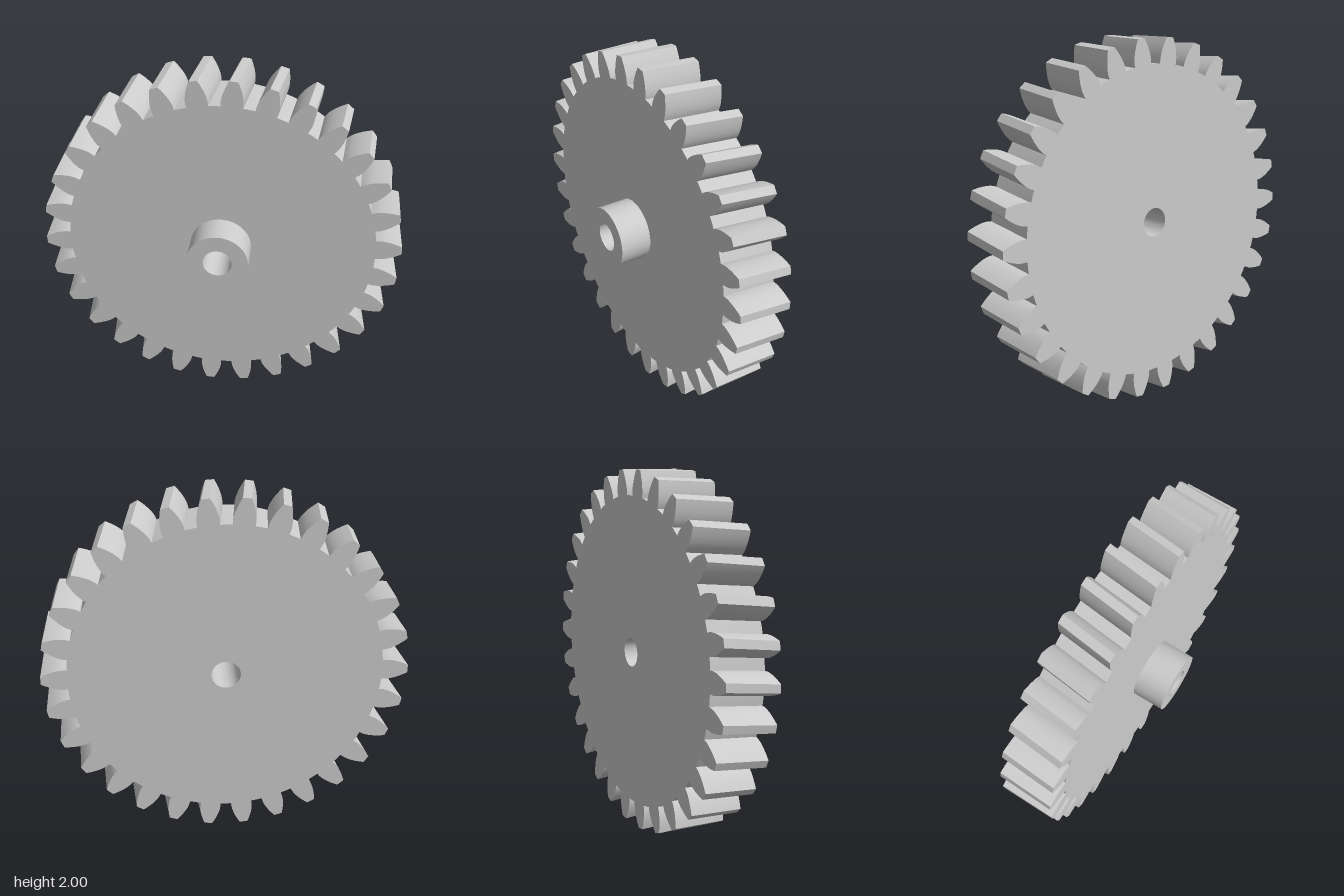
import * as THREE from 'three';
import { toCreasedNormals } from 'three/addons/utils/BufferGeometryUtils.js';

const TEETH = 30;
const TIP_R = 1, PITCH_R = 0.9375, ROOT_R = 0.859;
const BASE_R = PITCH_R * Math.cos(THREE.MathUtils.degToRad(20));
const BORE_R = 0.08, HUB_R = 0.17;
const BACK_Z = -0.245, FACE_Z = 0.066, HUB_Z = 0.245;
const TWIST = THREE.MathUtils.degToRad(2.2);

// Polar angle swept by an involute at radius r
function involute(r) {
  const a = Math.acos(Math.min(1, BASE_R / r));
  return Math.tan(a) - a;
}

// Half of the angle a tooth covers at radius r
function halfTooth(r) {
  return Math.PI / (2 * TEETH) + involute(PITCH_R) - involute(Math.max(r, BASE_R));
}

// Toothed outline with the bore as a hole
function gearShape() {
  const radii = [ROOT_R, BASE_R];
  for (let i = 1; i <= 6; i++) radii.push(BASE_R + (TIP_R - BASE_R) * i / 6);
  const points = [];
  const add = (r, a) => points.push(new THREE.Vector2(r * Math.cos(a), r * Math.sin(a)));
  for (let t = 0; t < TEETH; t++) {
    const mid = t * 2 * Math.PI / TEETH;
    radii.forEach(r => add(r, mid - halfTooth(r)));
    add(TIP_R, mid);
    [...radii].reverse().forEach(r => add(r, mid + halfTooth(r)));
    add(ROOT_R, mid + Math.PI / TEETH);
  }
  const shape = new THREE.Shape(points);
  shape.holes.push(new THREE.Path().absarc(0, 0, BORE_R, 0, 2 * Math.PI, true));
  return shape;
}

// Extrude the outline and twist it steadily from back to front
function helicalGear() {
  const depth = FACE_Z - BACK_Z;
  const geometry = new THREE.ExtrudeGeometry(gearShape(), {
    depth, steps: 4, bevelEnabled: false, curveSegments: 24,
  });
  const pos = geometry.attributes.position;
  const v = new THREE.Vector3();
  const axis = new THREE.Vector3(0, 0, 1);
  for (let i = 0; i < pos.count; i++) {
    v.fromBufferAttribute(pos, i);
    v.applyAxisAngle(axis, TWIST * v.z / depth);
    pos.setXYZ(i, v.x, v.y, v.z);
  }
  geometry.translate(0, 0, BACK_Z);
  return toCreasedNormals(geometry, 0.45);
}

// Collar around the bore, open where it meets the gear face
function hubCollar() {
  const profile = [[HUB_R, FACE_Z], [HUB_R, HUB_Z], [BORE_R, HUB_Z], [BORE_R, FACE_Z]]
    .map(([r, z]) => new THREE.Vector2(r, z));
  const geometry = new THREE.LatheGeometry(profile, 48);
  geometry.rotateX(Math.PI / 2);
  return toCreasedNormals(geometry, 0.6);
}

export function createModel() {
  const group = new THREE.Group();
  group.name = 'helicalGear';
  const material = new THREE.MeshStandardMaterial({ color: 0xcccccc });
  const parts = { toothedWheel: helicalGear(), hub: hubCollar() };
  for (const [name, geometry] of Object.entries(parts)) {
    const mesh = new THREE.Mesh(geometry, material);
    mesh.name = name;
    mesh.position.y = 1;
    group.add(mesh);
  }
  return group;
}
